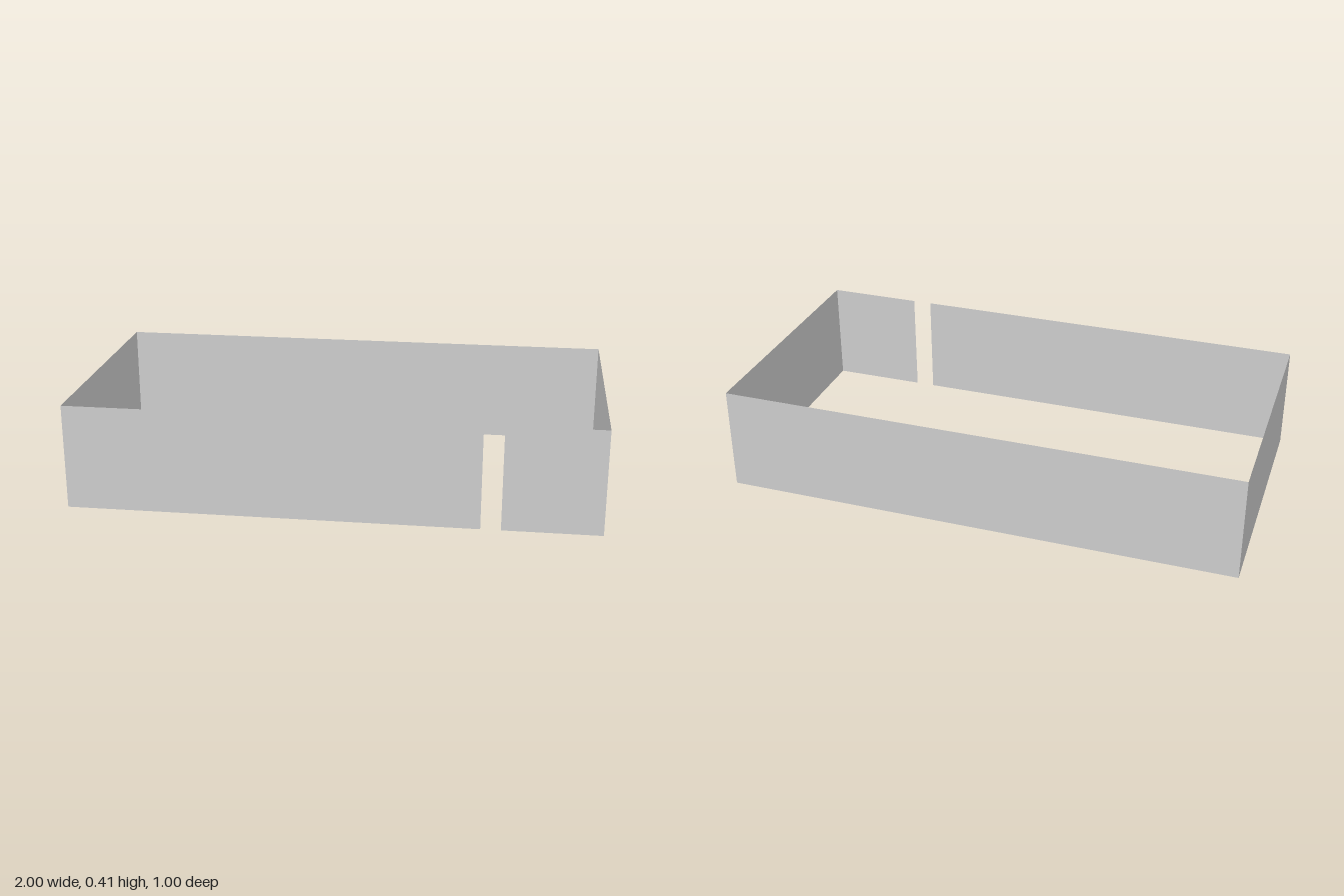
import * as THREE from 'three';

const HEIGHT = 0.405;
const HALF_X = 1;
const HALF_Z = 0.5;
const GAP = [0.556, 0.631]; // doorway slot in the front wall

const material = new THREE.MeshStandardMaterial({ color: 0xcccccc, side: THREE.DoubleSide });

// Upright sheet between two floor points, its front to the right of the path
function wall(name, [x0, z0], [x1, z1]) {
  const geometry = new THREE.PlaneGeometry(Math.hypot(x1 - x0, z1 - z0), HEIGHT);
  const mesh = new THREE.Mesh(geometry, material);
  mesh.name = name;
  mesh.position.set((x0 + x1) / 2, HEIGHT / 2, (z0 + z1) / 2);
  mesh.rotation.y = Math.atan2(-(z1 - z0), x1 - x0);
  return mesh;
}

export function createModel() {
  const model = new THREE.Group();
  model.name = 'openWallEnclosure';
  model.add(
    // Front wall, split by the slot
    wall('frontWallLong', [-HALF_X, HALF_Z], [GAP[0], HALF_Z]),
    wall('frontWallShort', [GAP[1], HALF_Z], [HALF_X, HALF_Z]),
    // Remaining closed sides
    wall('leftWall', [HALF_X, HALF_Z], [HALF_X, -HALF_Z]),
    wall('backWall', [HALF_X, -HALF_Z], [-HALF_X, -HALF_Z]),
    wall('rightWall', [-HALF_X, -HALF_Z], [-HALF_X, HALF_Z]),
  );
  return model;
}
